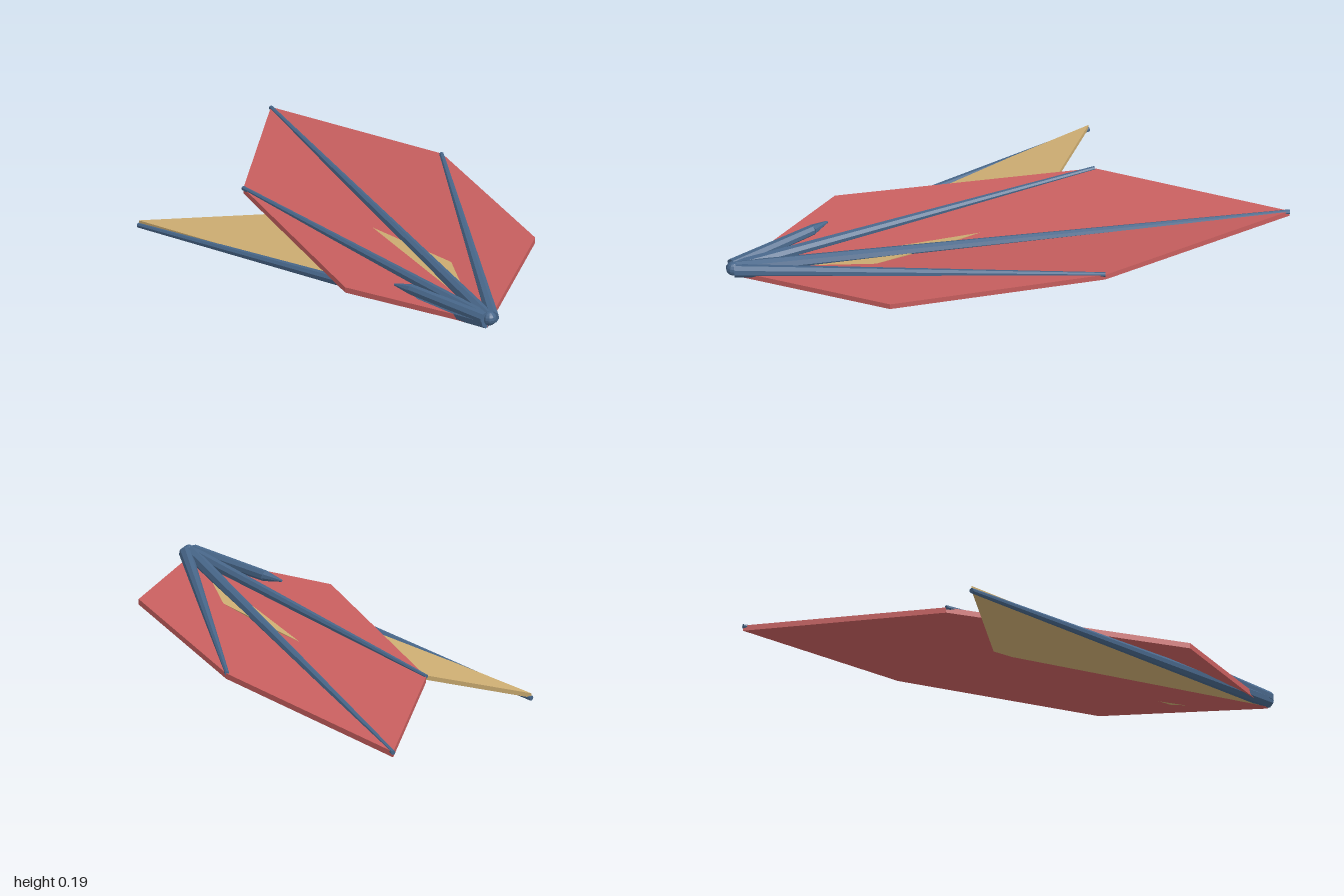
import * as THREE from 'three';

const material = (name, color) => {
  const m = new THREE.MeshStandardMaterial({ color });
  m.name = name;
  return m;
};

// Thin folded membrane: panels fan out from the wrist to each rim point
function membrane(name, mat, wrist, rim, thickness) {
  const ring = [wrist, ...rim].map((p) => new THREE.Vector3(...p));
  const h = thickness / 2;
  const pos = [];
  const put = (...verts) => verts.forEach(([i, side]) => pos.push(ring[i].x, ring[i].y + side * h, ring[i].z));
  for (let i = 1; i < ring.length - 1; i++) {
    put([0, 1], [i + 1, 1], [i, 1]);
    put([0, -1], [i, -1], [i + 1, -1]);
  }
  for (let i = 0; i < ring.length; i++) {
    const j = (i + 1) % ring.length;
    put([i, 1], [j, 1], [j, -1]);
    put([i, 1], [j, -1], [i, -1]);
  }
  const geo = new THREE.BufferGeometry();
  geo.setAttribute('position', new THREE.Float32BufferAttribute(pos, 3));
  geo.computeVertexNormals();
  const mesh = new THREE.Mesh(geo, mat);
  mesh.name = name;
  return mesh;
}

// Tapered bone from base to tip
function bone(name, mat, base, tip, r0, r1) {
  const a = new THREE.Vector3(...base);
  const b = new THREE.Vector3(...tip);
  const dir = b.clone().sub(a);
  const mesh = new THREE.Mesh(new THREE.CylinderGeometry(r1, r0, dir.length(), 8), mat);
  mesh.position.copy(a).add(b).multiplyScalar(0.5);
  mesh.quaternion.setFromUnitVectors(new THREE.Vector3(0, 1, 0), dir.normalize());
  mesh.name = name;
  return mesh;
}

export function createModel() {
  const group = new THREE.Group();
  group.name = 'foldedWing';
  const red = material('red membrane', 0xc85f5f);
  const tan = material('tan membrane', 0xcdad72);
  const blue = material('slate blue bone', 0x48678a);
  blue.flatShading = true;

  // Outer membrane, creased along the finger bones
  group.add(membrane('outerMembrane', red, [0.22, 0.145, 0.975], [
    [-0.15, 0.142, 0.55],
    [-0.2, 0.105, -0.365],
    [0.12, 0.073, -0.99],
    [0.495, 0.163, -0.28],
    [0.565, 0.186, 0.485],
  ], 0.02));

  // Inner membrane, lying mostly beneath the outer one
  group.add(membrane('innerMembrane', tan, [0.22, 0.145, 0.97], [
    [-0.565, 0.022, -0.41],
    [0.04, 0.104, -0.1],
    [0.33, 0.153, 0.66],
  ], 0.016));

  // Bones spreading from the wrist
  [
    ['rightFinger', [0.22, 0.168, 0.975], [-0.2, 0.115, -0.365], 0.023, 0.008],
    ['middleFinger', [0.225, 0.168, 0.975], [0.12, 0.08, -0.99], 0.025, 0.008],
    ['leftFinger', [0.24, 0.168, 0.97], [0.492, 0.172, -0.28], 0.023, 0.008],
    ['forearm', [0.215, 0.16, 0.975], [-0.566, 0.012, -0.41], 0.025, 0.009],
    ['thumb', [0.21, 0.17, 0.975], [0.05, 0.165, 0.665], 0.023, 0.019],
    ['thumbTip', [0.05, 0.165, 0.665], [0.01, 0.163, 0.605], 0.019, 0.004],
  ].forEach(([name, ...args]) => {
    const [base, tip, r0, r1] = args;
    group.add(bone(name, blue, base, tip, r0, r1));
  });

  // Rounded wrist joint
  const wrist = new THREE.Mesh(new THREE.SphereGeometry(0.025, 10, 8), blue);
  wrist.name = 'wrist';
  wrist.position.set(0.227, 0.169, 0.973);
  group.add(wrist);

  return group;
}
